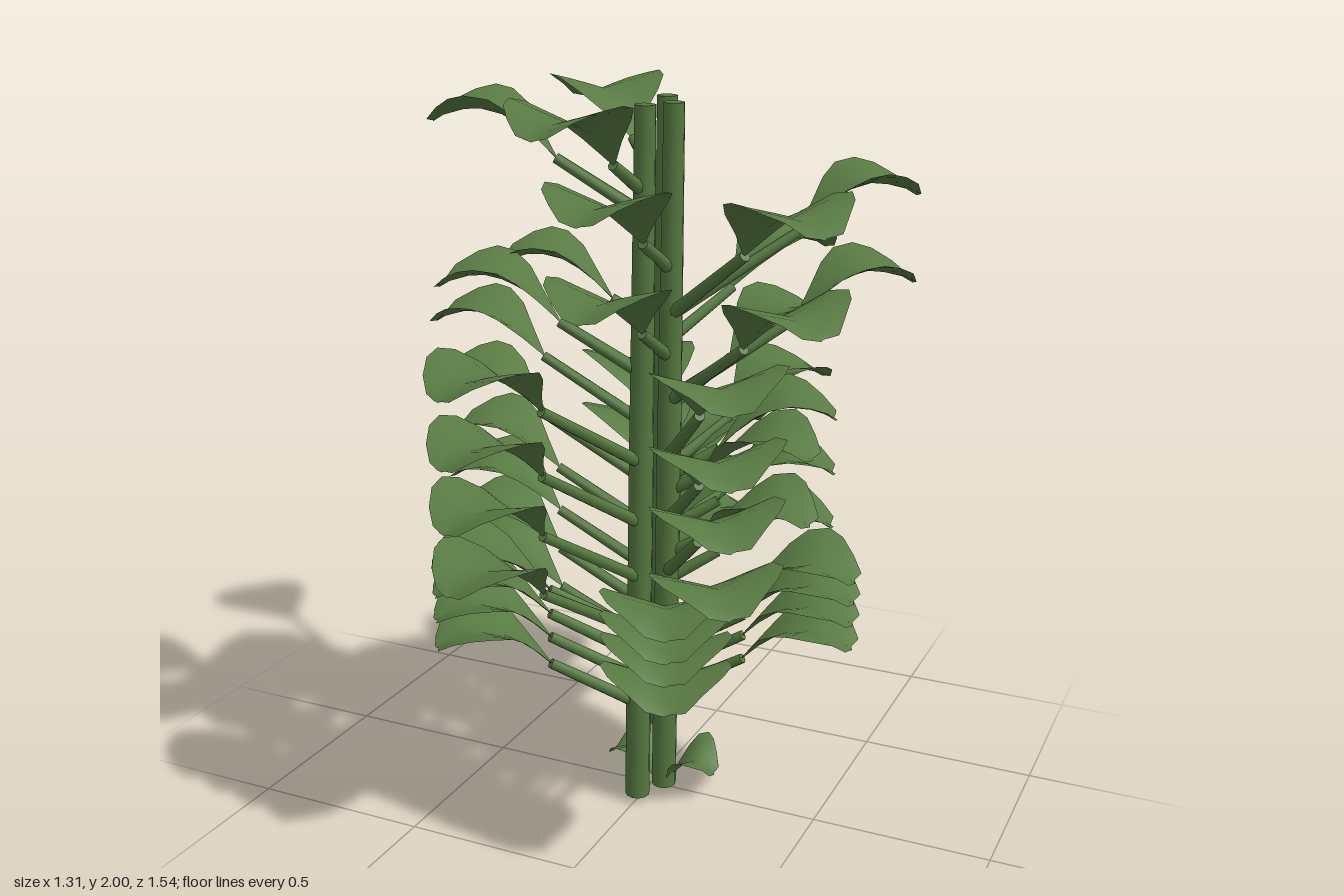
import * as THREE from 'three';

const leafGreen = new THREE.MeshStandardMaterial({ color: 0x587a43, side: THREE.DoubleSide });
leafGreen.name = 'leaf green';
const stemGreen = new THREE.MeshStandardMaterial({ color: 0x557840 });
stemGreen.name = 'stem green';

const V = (x, y, z) => new THREE.Vector3(x, y, z);
const LEAF_LENGTH = 0.31, LEAF_RISE = 0.165;

// Three leaning canes: foot and top
const canes = {
  front: [V(0.0, 0.02, 0.10), V(0.06, 1.97, 0.17)],
  middle: [V(0.045, 0.02, 0.015), V(0.10, 1.97, 0.085)],
  back: [V(-0.045, 0.02, -0.15), V(0.01, 1.97, -0.075)],
};

// Leaf stacks: cane, leaf centre x and z, height of each leaf's crest
const stacks = [
  ['back', -0.28, -0.33, [2.0]],
  ['front', 0.0, 0.44, [2.0]],
  ['front', -0.31, 0.27, [2.0, 1.58]],
  ['middle', 0.06, 0.37, [1.8, 1.57]],
  ['middle', 0.495, -0.205, [1.8, 1.57]],
  ['middle', 0.49, 0.345, [1.8, 1.57]],
  ['back', -0.29, 0.0, [1.59]],
  ['back', 0.21, -0.405, [1.6, 1.4, 1.22]],
  ['back', -0.50, 0.0, [1.41, 1.24]],
  ['back', -0.47, -0.02, [1.08, 0.95, 0.83, 0.71]],
  ['front', -0.15, 0.6, [1.41, 1.24, 1.08, 0.92]],
  ['back', -0.18, -0.61, [1.02, 0.91, 0.80, 0.71]],
  ['middle', 0.37, 0.45, [1.41, 1.23, 1.08, 0.91]],
  ['middle', 0.44, 0.02, [0.82, 0.76, 0.70, 0.63]],
  ['middle', 0.34, -0.06, [1.22, 1.07, 0.92]],
  ['middle', 0.33, 0.06, [1.16, 0.98]],
  ['front', -0.30, 0.37, [0.85, 0.78, 0.71, 0.63]],
  ['middle', 0.23, 0.42, [0.82, 0.76, 0.70, 0.62]],
  ['back', 0.05, -0.31, [1.08, 0.92, 0.80]],
  ['back', -0.10, -0.20, [1.24, 1.08]],
];

// Round cylinder between two points
function rod(a, b, r0, r1, sides, name) {
  const dir = b.clone().sub(a);
  const mesh = new THREE.Mesh(new THREE.CylinderGeometry(r1, r0, dir.length(), sides), stemGreen);
  mesh.position.copy(a).add(b).multiplyScalar(0.5);
  mesh.quaternion.setFromUnitVectors(V(0, 1, 0), dir.normalize());
  mesh.name = name;
  return mesh;
}

// Arching blade along +z from its base point, folded up along the midrib
function makeLeafGeometry() {
  const rows = [ // distance, half width, midrib height, edge height
    [0, 0.008, 0, 0.005], [0.045, 0.06, 0.045, 0.065], [0.09, 0.12, 0.08, 0.122],
    [0.135, 0.16, 0.105, 0.155], [0.185, 0.165, 0.119, 0.165], [0.235, 0.142, 0.116, 0.154],
    [0.28, 0.095, 0.102, 0.128], [0.31, 0.045, 0.085, 0.096],
  ];
  const across = 6, pos = [], index = [];
  rows.forEach(([d, w, mid, edge], i) => {
    for (let j = 0; j <= across; j++) {
      const u = (j / across) * 2 - 1;
      const ripple = i > 2 ? 0.004 * Math.sin(i * 2.4 + j * 1.7) : 0;
      pos.push(u * w + ripple, mid + (edge - mid) * Math.abs(u), d + ripple);
      if (i && j) {
        const c = i * (across + 1) + j, b = c - across - 1;
        index.push(b - 1, c - 1, b, b, c - 1, c);
      }
    }
  });
  const g = new THREE.BufferGeometry();
  g.setAttribute('position', new THREE.Float32BufferAttribute(pos, 3));
  g.setIndex(index);
  g.computeVertexNormals();
  return g;
}

export function createModel() {
  const model = new THREE.Group();
  model.name = 'leafyPlant';
  const leafGeometry = makeLeafGeometry();

  function addLeaf(base, angle, sx = 1, sy = 1, sz = 1) {
    const leaf = new THREE.Mesh(leafGeometry, leafGreen);
    leaf.position.copy(base);
    leaf.rotation.y = angle;
    leaf.scale.set(sx, sy, sz);
    leaf.name = 'leaf';
    model.add(leaf);
  }

  // Canes in jointed sections, slimmer towards the top
  const joints = [0, 0.51, 0.675, 0.835, 1];
  for (const [name, [foot, top]] of Object.entries(canes)) {
    for (let i = 1; i < joints.length; i++) {
      const r = 0.037 - i * 0.002;
      model.add(rod(foot.clone().lerp(top, joints[i - 1]), foot.clone().lerp(top, joints[i]),
        r, r - 0.002, 12, name + 'Cane'));
    }
  }

  // Leaves on slanting stalks
  for (const [cane, x, z, heights] of stacks) {
    const [foot, top] = canes[cane];
    for (const y of heights) {
      const node = foot.clone().lerp(top, (y - 0.35) / 1.95);
      const dx = x - node.x, dz = z - node.z, reach = Math.hypot(dx, dz);
      const k = Math.max(reach - LEAF_LENGTH / 2, 0.03) / reach;
      const base = V(node.x + dx * k, y - LEAF_RISE, node.z + dz * k);
      node.y = base.y - 0.62 * reach * k;
      model.add(rod(node, base, 0.018, 0.014, 8, 'leafStalk'));
      addLeaf(base, Math.atan2(dx, dz));
    }
  }

  // Small pair of leaves at the foot
  addLeaf(V(0.045, 0.0, 0.01), Math.PI / 2, 0.64, 0.9, 0.5);
  addLeaf(V(0.03, 0.01, 0.01), -Math.PI / 2, 0.6, 0.85, 0.48);
  return model;
}
